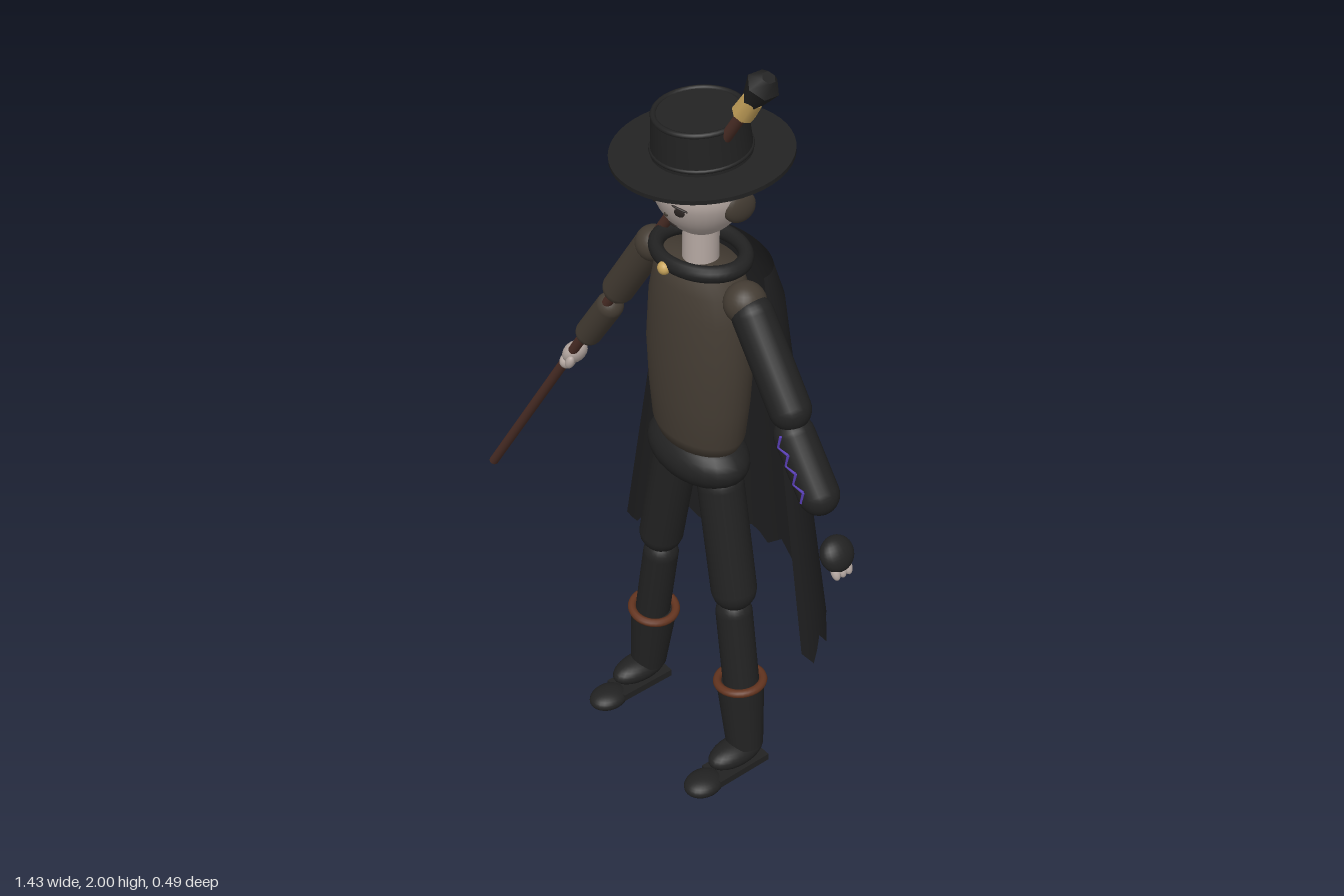
import * as THREE from 'three';

const mat = (name, color, extra = {}) => {
  const m = new THREE.MeshStandardMaterial({ color, ...extra });
  m.name = name;
  return m;
};

export function createModel() {
  const black = mat('black cloth', 0x222222);
  const capeCloth = mat('cape cloth', 0x1f1f20, { side: THREE.DoubleSide });
  const brown = mat('brown cloth', 0x443c33);
  const skin = mat('skin', 0xb5a8a2);
  const wood = mat('wood', 0x4b2e26);
  const leather = mat('leather', 0x63341f);
  const gold = mat('gold', 0xc9a55c);
  const purple = mat('purple thread', 0x5a3fb8);
  const ink = mat('face ink', 0x2a2422);

  const root = new THREE.Group();
  root.name = 'caped wanderer';
  const body = new THREE.Group(); // figure stands off-centre beside its staff
  body.name = 'figure';
  body.position.set(0.177, 0, 0.04);
  root.add(body);

  const V = (x, y, z = 0) => new THREE.Vector3(x, y, z);
  const UP = V(0, 1, 0);
  const add = (name, geo, m, pos = [0, 0, 0], parent = body) => {
    const mesh = new THREE.Mesh(geo, m);
    mesh.name = name;
    mesh.position.set(...pos);
    parent.add(mesh);
    return mesh;
  };
  const ball = (name, m, pos, radii, parent = body) => {
    const mesh = add(name, new THREE.SphereGeometry(1, 24, 16), m, pos, parent);
    mesh.scale.set(...radii);
    return mesh;
  };
  const align = (mesh, a, b) => {
    mesh.position.copy(a).add(b).multiplyScalar(0.5);
    mesh.quaternion.setFromUnitVectors(UP, b.clone().sub(a).normalize());
    return mesh;
  };
  const limb = (name, m, a, b, r) =>
    align(add(name, new THREE.CapsuleGeometry(r, a.distanceTo(b), 8, 20), m), a, b);
  const rod = (name, m, a, b, r0, r1 = r0, sides = 20) =>
    align(add(name, new THREE.CylinderGeometry(r1, r0, a.distanceTo(b), sides), m), a, b);
  const lathe = (pts, n = 32) => new THREE.LatheGeometry(pts.map(p => new THREE.Vector2(...p)), n);

  // Torso and pelvis
  add('torso', lathe([[0, 0.96], [0.118, 0.965], [0.135, 1], [0.146, 1.1], [0.153, 1.22],
    [0.146, 1.34], [0.132, 1.41], [0.11, 1.455], [0, 1.465]]), brown).scale.z = 0.67;
  ball('pelvis', black, [0, 0.922, 0], [0.153, 0.077, 0.1]);

  // Neck, collar and clasp
  add('neck', new THREE.CylinderGeometry(0.042, 0.042, 0.12, 24), skin, [0, 1.5, 0]);
  const collar = add('collar', new THREE.TorusGeometry(0.115, 0.02, 12, 40), black, [0, 1.475, 0]);
  collar.rotation.x = Math.PI / 2;
  collar.scale.y = 0.8;
  ball('clasp', gold, [0, 1.467, 0.106], [0.016, 0.016, 0.014]);

  // Head: egg shape narrowing to the chin
  const headGeo = new THREE.SphereGeometry(1, 32, 24);
  const hp = headGeo.attributes.position;
  for (let i = 0; i < hp.count; i++) {
    const y = hp.getY(i);
    const k = y < 0 ? 1 + 0.16 * y : 1;
    hp.setXYZ(i, hp.getX(i) * k * 0.112, y * 0.116, hp.getZ(i) * k * 0.112);
  }
  headGeo.computeVertexNormals();
  add('head', headGeo, skin, [0, 1.642, 0]);

  // Hair tufts over the ears and at the nape
  for (const s of [-1, 1]) {
    const tuft = ball('side hair', brown, [s * 0.103, 1.625, -0.022], [0.02, 0.038, 0.045]);
    tuft.rotation.x = -0.4;
  }
  ball('back hair', brown, [0, 1.62, -0.098], [0.036, 0.037, 0.022]);

  // Face: thin marks following the front of the head
  const face = (name, m, x, y, w, h, roll = 0) => {
    const dy = (y - 1.642) / 0.116, k = dy < 0 ? 1 + 0.16 * dy : 1;
    const z = Math.sqrt(Math.max(0, (1 - dy * dy) * (0.112 * k) ** 2 - x * x));
    const mark = ball(name, m, [x, y, z], [w, h, 0.004]);
    mark.rotation.set(-dy * 0.9, Math.atan2(x, z), roll, 'YXZ');
  };
  for (const s of [-1, 1]) {
    face('eye', ink, s * 0.045, 1.626, 0.013, 0.011);
    face('eyelid', ink, s * 0.048, 1.638, 0.02, 0.003, -s * 0.25);
    face('eyebrow', ink, s * 0.042, 1.685, 0.018, 0.004, -s * 0.2);
  }
  face('nose', brown, 0, 1.603, 0.006, 0.006);
  face('mouth', ink, 0, 1.57, 0.015, 0.003);

  // Hat, tipped slightly forward
  const hat = new THREE.Group();
  hat.name = 'hat';
  hat.position.set(0, 1.726, 0);
  hat.rotation.x = 0.09;
  body.add(hat);
  add('brim', new THREE.CylinderGeometry(0.205, 0.205, 0.01, 48), black, [0, 0, 0], hat);
  add('crown', new THREE.CylinderGeometry(0.105, 0.114, 0.1, 40), black, [0, 0.05, 0], hat);
  const hatBand = add('hat band', new THREE.TorusGeometry(0.111, 0.005, 8, 40), black, [0, 0.016, 0], hat);
  hatBand.rotation.x = Math.PI / 2;
  const edge = add('crown edge', new THREE.TorusGeometry(0.1, 0.007, 8, 40), black, [0, 0.098, 0], hat);
  edge.rotation.x = Math.PI / 2;

  // Legs, boots and shoes
  for (const s of [-1, 1]) {
    limb('thigh', black, V(s * 0.085, 0.86), V(s * 0.142, 0.573), 0.057);
    limb('shin', black, V(s * 0.145, 0.5), V(s * 0.185, 0.25), 0.046);
    rod('boot', black, V(s * 0.199, 0.095), V(s * 0.175, 0.29), 0.048, 0.061, 28);
    const cuff = add('boot cuff', new THREE.TorusGeometry(0.058, 0.011, 10, 32), leather, [s * 0.175, 0.29, 0]);
    cuff.rotation.set(Math.PI / 2, s * 0.12, 0);
    ball('ankle', black, [s * 0.2, 0.078, 0.03], [0.044, 0.034, 0.084]);
    add('sole', new THREE.BoxGeometry(0.075, 0.02, 0.16), black, [s * 0.2, 0.034, 0.03]);
    ball('toe', black, [s * 0.2, 0.028, 0.135], [0.044, 0.026, 0.055]);
  }

  // Right arm, gripping the staff
  ball('shoulder', brown, [-0.172, 1.41, 0], [0.044, 0.044, 0.044]);
  limb('right upper arm', brown, V(-0.186, 1.395), V(-0.305, 1.222), 0.041);
  limb('right forearm', brown, V(-0.345, 1.148), V(-0.432, 1.025), 0.035);
  const palm = ball('right hand', skin, [-0.497, 0.93, 0], [0.026, 0.04, 0.034]);
  palm.rotation.z = -0.6;
  ball('right thumb', skin, [-0.484, 0.915, 0.026], [0.012, 0.022, 0.012]).rotation.z = -0.4;
  ball('right fingers', skin, [-0.512, 0.9, 0.012], [0.018, 0.022, 0.024]);

  // Left arm with a stitched zigzag, and a gloved hand
  ball('shoulder', brown, [0.155, 1.412, 0], [0.049, 0.05, 0.05]);
  limb('left upper arm', black, V(0.183, 1.393), V(0.316, 1.212), 0.049);
  const elbow = V(0.332, 1.15, -0.002), wrist = V(0.42, 1.035, -0.002);
  limb('left forearm', black, elbow, wrist, 0.048);
  const along = wrist.clone().sub(elbow), across = V(along.y, -along.x).normalize();
  const stitch = i => elbow.clone().addScaledVector(along, -0.08 + i * 0.155)
    .addScaledVector(across, (i % 2 ? 1 : -1) * 0.012 - 0.004).setZ(0.045);
  for (let i = 0; i < 7; i++) rod('zigzag stitch', purple, stitch(i), stitch(i + 1), 0.0035, 0.0035, 6);
  const glove = ball('left glove', black, [0.497, 0.918, 0.006], [0.029, 0.043, 0.044]);
  glove.rotation.z = 0.55;
  for (let i = -1; i <= 1; i++)
    ball('left finger', skin, [0.515, 0.884, 0.006 + i * 0.018], [0.011, 0.02, 0.011]).rotation.z = 0.45;

  // Cape: half-elliptical sheet, flaring down to a ragged hem
  const teeth = 10, cols = teeth * 4, rows = 10;
  const cape = new THREE.PlaneGeometry(1, 1, cols, rows);
  const cp = cape.attributes.position;
  for (let j = 0; j <= rows; j++) {
    for (let i = 0; i <= cols; i++) {
      const wave = Math.abs((i % 4) - 2) / 2;
      const tooth = Math.floor(i / 4);
      const hem = 0.425 + wave * 0.05 + ((tooth * 7) % 3) * 0.006;
      const t = j / rows, a = Math.PI * i / cols;
      const y = 1.463 + (hem - 1.463) * t;
      const flare = (1.463 - y) / 1.035;
      const rx = 0.165 + 0.19 * flare;
      const rz = 0.095 + 0.03 * Math.min(1, flare * 12) + 0.12 * flare;
      cp.setXYZ(j * (cols + 1) + i, Math.cos(a) * rx, y, -0.045 - Math.sin(a) * rz);
    }
  }
  cape.computeVertexNormals();
  add('cape', cape, capeCloth);

  // Staff with a gold ferrule and faceted dark head
  const foot = V(-0.885, 0.355, 0.015), tip = V(0.222, 1.99, 0.015);
  const onStaff = d => tip.clone().addScaledVector(foot.clone().sub(tip).normalize(), d);
  rod('staff', wood, foot, onStaff(0.05), 0.013, 0.013, 16);
  rod('staff ferrule', gold, onStaff(0.125), onStaff(0.07), 0.027, 0.024, 8);
  rod('staff head', black, onStaff(0.075), onStaff(0.02), 0.024, 0.038, 6);
  rod('staff head cap', black, onStaff(0.02), onStaff(-0.008), 0.038, 0.016, 6);

  return root;
}
